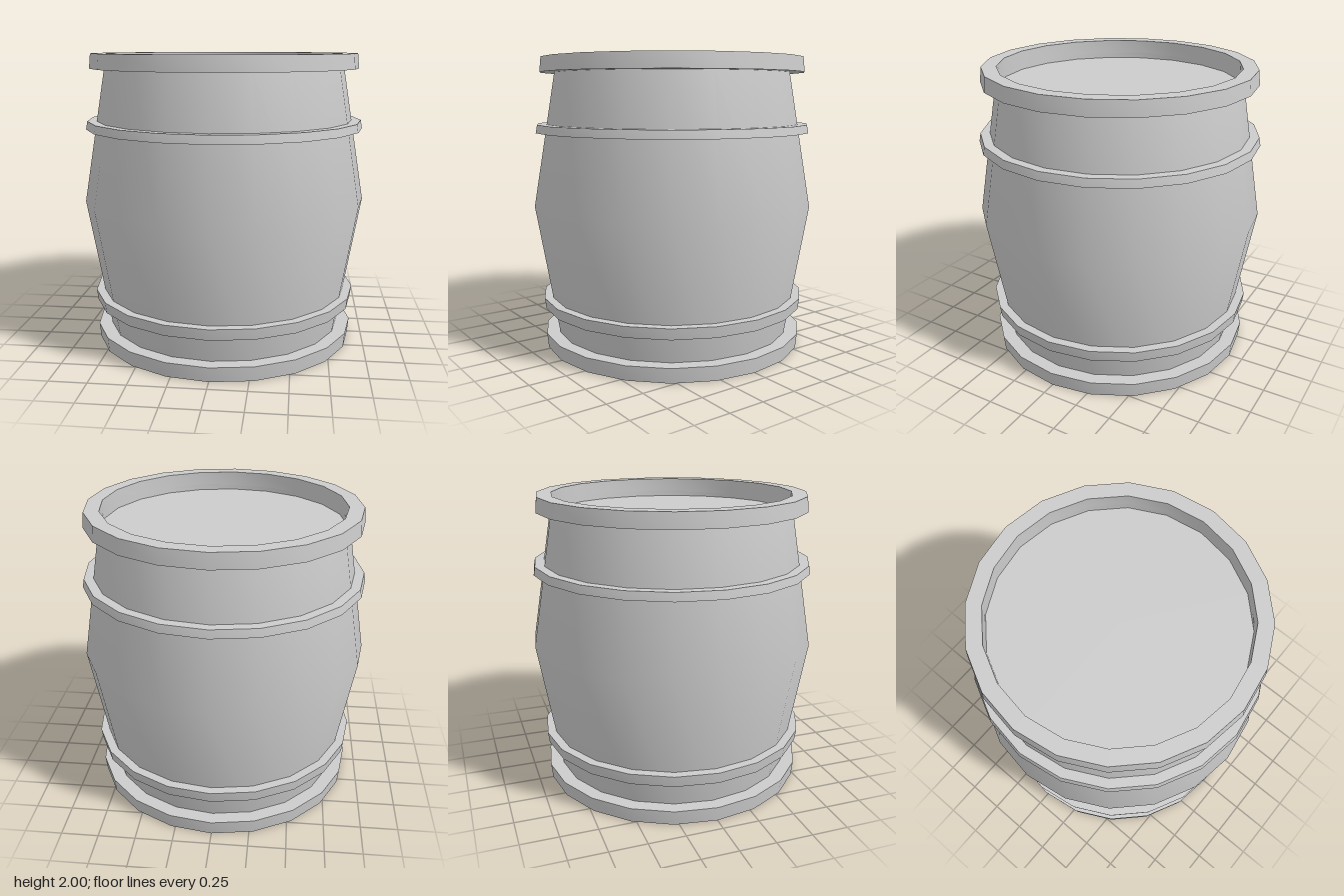
import * as THREE from 'three';
import { toCreasedNormals } from 'three/addons/utils/BufferGeometryUtils.js';

const SIDES = 20;

// Turns a [radius, height] outline (counter-clockwise) into a faceted ring with smooth sides and sharp rims
function turned(name, outline, material) {
  const points = outline.map(([r, y]) => new THREE.Vector2(r, y));
  const geometry = toCreasedNormals(new THREE.LatheGeometry(points, SIDES), THREE.MathUtils.degToRad(35));
  const mesh = new THREE.Mesh(geometry, material);
  mesh.name = name;
  return mesh;
}

// Closed band: inner radius, lower and upper outer radius, bottom and top height
function band(name, inner, outerLow, outerHigh, bottom, top, material) {
  return turned(name, [
    [inner, bottom], [outerLow, bottom], [outerHigh, top], [inner, top], [inner, bottom],
  ], material);
}

export function createModel() {
  const barrel = new THREE.Group();
  barrel.name = 'barrel';
  const material = new THREE.MeshStandardMaterial({ color: 0xcccccc });

  // Bulging staves, widest at mid height
  barrel.add(turned('staves', [
    [0.81, 0.13], [0.81, 0.09], [0.82, 0.09], [0.975, 1], [0.82, 1.91], [0.81, 1.91], [0.81, 1.87],
  ], material));

  // Recessed discs closing both ends
  barrel.add(turned('lid', [[0.81, 1.87], [0, 1.87]], material));
  barrel.add(turned('base', [[0, 0.13], [0.81, 0.13]], material));

  // Thick end rims
  barrel.add(band('topRim', 0.81, 0.92, 0.91, 1.9, 2, material));
  barrel.add(band('bottomRim', 0.81, 0.905, 0.915, 0, 0.1, material));

  // Narrow hoops around the staves
  barrel.add(band('upperHoop', 0.85, 0.955, 0.945, 1.495, 1.55, material));
  barrel.add(band('lowerHoop', 0.82, 0.915, 0.925, 0.28, 0.355, material));

  return barrel;
}
